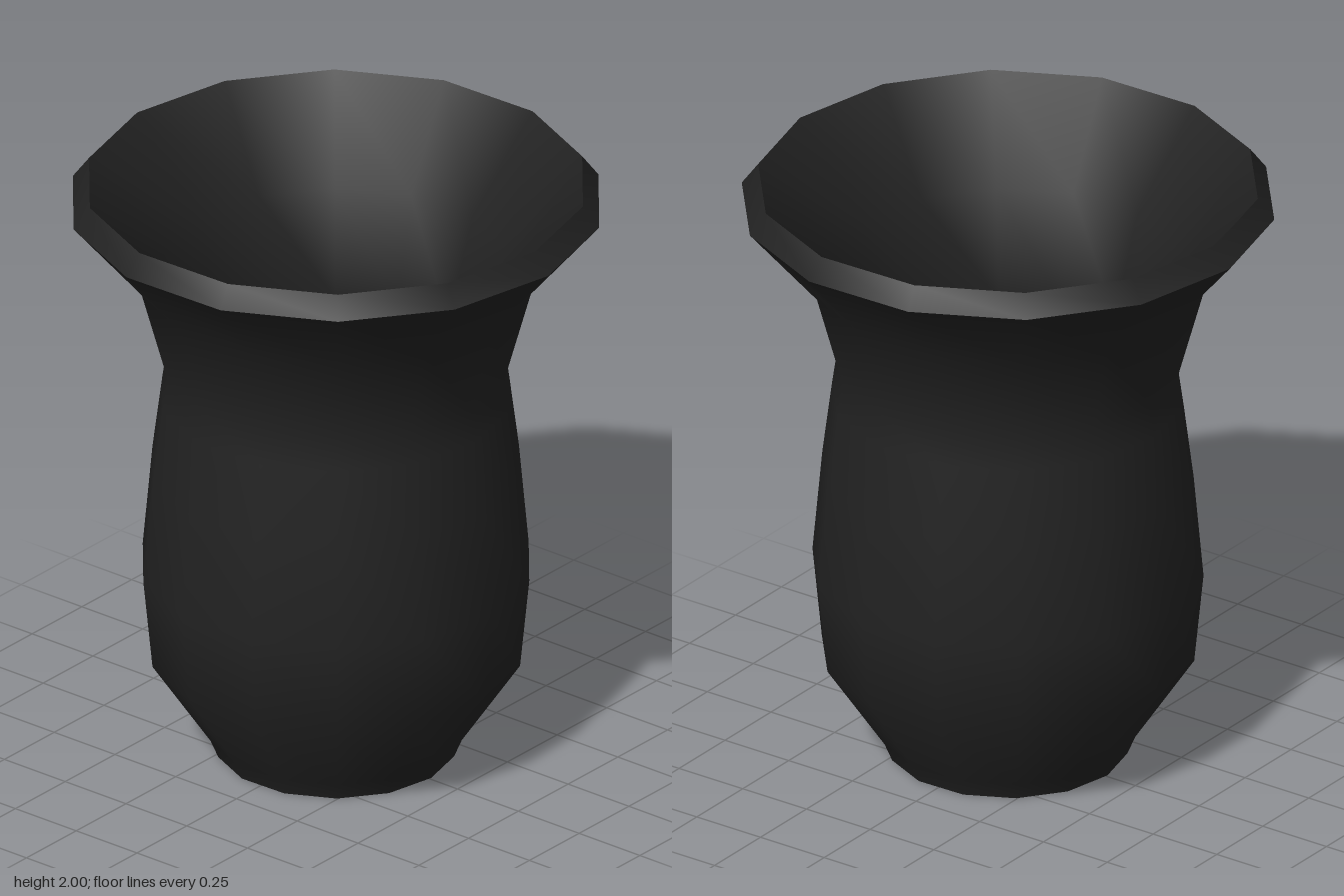
import * as THREE from 'three';
import { toCreasedNormals } from 'three/addons/utils/BufferGeometryUtils.js';

const SIDES = 14;
const material = new THREE.MeshStandardMaterial({ color: 0x222222 });

// Turned part from [radius, height] pairs, listed so that the surface faces right of the path
function turned(name, profile) {
  const points = profile.map(([r, y]) => new THREE.Vector2(r, y));
  const lathe = new THREE.LatheGeometry(points, SIDES, 0.02);
  const mesh = new THREE.Mesh(toCreasedNormals(lathe, 0.75), material);
  mesh.name = name;
  return mesh;
}

export function createModel() {
  const vase = new THREE.Group();
  vase.name = 'vase';

  // Hollow under the foot
  vase.add(turned('footRecess', [[0, 0.1], [0.36, 0.1], [0.385, 0]]));

  // Swelling body, narrow neck and flared mouth
  vase.add(turned('outerWall', [
    [0.385, 0], [0.41, 0.06], [0.6, 0.345], [0.63, 0.65], [0.598, 1.0],
    [0.566, 1.25], [0.55, 1.36], [0.635, 1.67], [0.858, 1.93],
  ]));

  // Bevelled lip
  vase.add(turned('rim', [[0.858, 1.93], [0.805, 2]]));

  // Inside wall, from the lip through the neck to the floor
  vase.add(turned('innerWall', [
    [0.805, 2], [0.56, 1.7], [0.46, 1.36], [0.49, 1.2], [0.54, 0.65],
    [0.5, 0.38], [0.335, 0.16],
  ]));
  vase.add(turned('innerFloor', [[0.335, 0.16], [0, 0.16]]));

  return vase;
}
